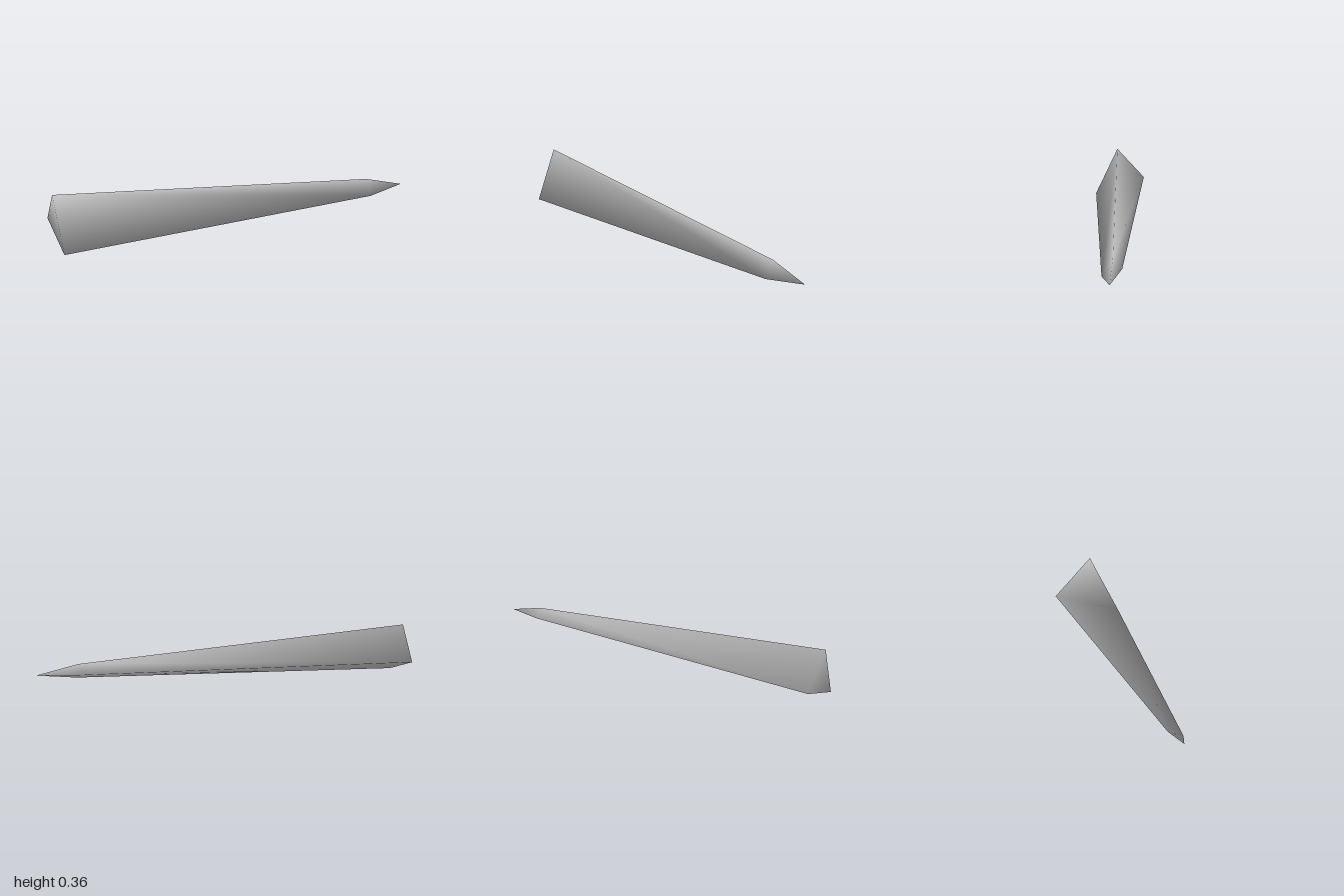
import * as THREE from 'three';

// Smooth normals: each face counts by its corner angle at the vertex
function smoothByAngle(geometry) {
  const pos = geometry.attributes.position;
  const index = geometry.index.array;
  const at = (i) => new THREE.Vector3().fromBufferAttribute(pos, i);
  const normals = Array.from({ length: pos.count }, () => new THREE.Vector3());
  for (let f = 0; f < index.length; f += 3) {
    const ids = [index[f], index[f + 1], index[f + 2]];
    const p = ids.map(at);
    const faceNormal = p[1].clone().sub(p[0]).cross(p[2].clone().sub(p[0])).normalize();
    ids.forEach((id, k) => {
      const u = p[(k + 1) % 3].clone().sub(p[k]);
      const v = p[(k + 2) % 3].clone().sub(p[k]);
      normals[id].addScaledVector(faceNormal, u.angleTo(v));
    });
  }
  const flat = normals.flatMap((n) => n.normalize().toArray());
  geometry.setAttribute('normal', new THREE.Float32BufferAttribute(flat, 3));
}

export function createModel() {
  const group = new THREE.Group();
  group.name = 'spike';
  const grey = new THREE.MeshStandardMaterial({ color: 0xbcbcbc });
  grey.name = 'grey';

  // Three-sided cross-sections (top, outer, lower corner), then the point
  const base = [[-0.82, 0.36, 0.9], [-0.97, 0.13, 0.75], [-0.68, 0, 1]];
  const shoulder = [[0.76, 0.195, -0.8], [0.72, 0.13, -0.84], [0.815, 0.085, -0.76]];
  const tip = [0.965, 0.127, -1];

  // Closed base, tapering sides and pointed end, sharing vertices
  const faces = [0, 1, 2];
  for (let i = 0; i < 3; i++) {
    const j = (i + 1) % 3;
    faces.push(j, i, i + 3, j, i + 3, j + 3);
    faces.push(j + 3, i + 3, 6);
  }

  const geometry = new THREE.BufferGeometry();
  const points = [...base, ...shoulder, tip].flat();
  geometry.setAttribute('position', new THREE.Float32BufferAttribute(points, 3));
  geometry.setIndex(faces);
  smoothByAngle(geometry);

  const shaft = new THREE.Mesh(geometry, grey);
  shaft.name = 'taperedShaft';
  group.add(shaft);
  return group;
}
